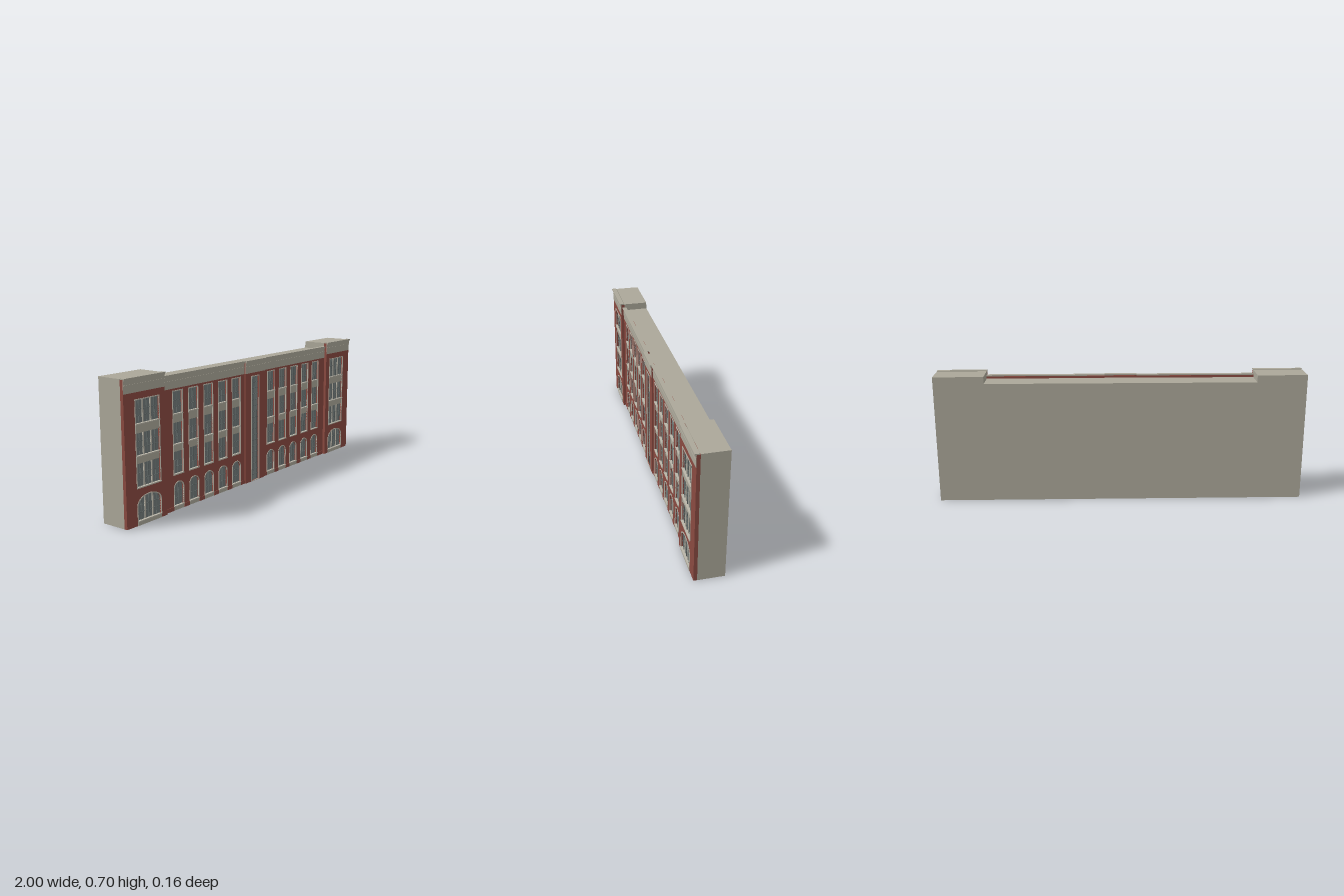
import * as THREE from 'three';

const mat = (name, color, side = THREE.FrontSide) => {
  const m = new THREE.MeshStandardMaterial({ color, side });
  m.name = name;
  return m;
};

export function createModel() {
  const brick = mat('brick', 0x8a4a41);
  const stone = mat('stone', 0xaba799);
  const shell = mat('shell', 0xaba799, THREE.DoubleSide);
  const trim = mat('trim', 0xb9b5a8);
  const glass = mat('glass', 0x727b7a, THREE.DoubleSide);
  const bars = mat('glazingBars', 0x626a69);

  const model = new THREE.Group();
  model.name = 'building';

  const add = (parent, name, geo, material, z = 0) => {
    const mesh = new THREE.Mesh(geo, material);
    mesh.name = name;
    mesh.position.z = z;
    parent.add(mesh);
    return mesh;
  };
  // Box given by its limits
  const box = (parent, name, material, x0, x1, y0, y1, z0, z1) => {
    const m = add(parent, name, new THREE.BoxGeometry(x1 - x0, y1 - y0, z1 - z0), material);
    m.position.set((x0 + x1) / 2, (y0 + y1) / 2, (z0 + z1) / 2);
    return m;
  };
  // Rectangular outline, or one with an elliptical arched head
  const outline = (x0, x1, y0, y1, rise = 0) => {
    const s = new THREE.Shape();
    s.moveTo(x0, y0);
    s.lineTo(x1, y0);
    s.lineTo(x1, y1 - rise);
    if (rise) s.absellipse((x0 + x1) / 2, y1 - rise, (x1 - x0) / 2, rise, 0, Math.PI, false);
    else s.lineTo(x0, y1);
    s.closePath();
    return s;
  };
  const extrude = (shape, depth) =>
    new THREE.ExtrudeGeometry(shape, { depth, bevelEnabled: false, curveSegments: 10 });

  // Glass, frame and glazing bars of one opening
  const fillOpening = (parent, o, zf) => {
    const { x0, x1, y0, y1, rise = 0, lights, rows, wide } = o;
    const t = 0.005;
    add(parent, 'windowGlass', new THREE.ShapeGeometry(outline(x0, x1, y0, y1, rise), 10), glass, zf - 0.008);
    const frame = outline(x0 - t, x1 + t, Math.max(0, y0 - t), y1 + t, rise ? rise + t : 0);
    frame.holes.push(outline(x0, x1, y0, y1, rise));
    add(parent, 'windowFrame', extrude(frame, 0.005), trim, zf - 0.003);
    const w = x1 - x0;
    // Shorten upright bars under an arched head
    const head = x => {
      const u = (x - (x0 + x1) / 2) / (w / 2);
      return rise ? y1 - rise + rise * Math.sqrt(1 - u * u) : y1;
    };
    for (let i = 1; i < lights; i++) {
      const x = x0 + (w * i) / lights;
      const main = wide && i % 2 === 0;
      const h = main ? 0.0035 : 0.001;
      box(parent, 'uprightBar', main ? trim : bars, x - h, x + h, y0, head(x), zf - 0.008, zf - 0.004);
    }
    for (const y of rows) box(parent, 'crossBar', bars, x0, x1, y - 0.001, y + 0.001, zf - 0.008, zf - 0.005);
  };

  // Upper window column with spandrels and sills, and the arched window below
  const windowStack = (parent, cx, halfW, zf, wide) => {
    const x0 = cx - halfW, x1 = cx + halfW;
    const lights = wide ? 6 : 2;
    const rows = [];
    for (const y of [0.185, 0.335, 0.485]) for (const d of [0.035, 0.065]) rows.push(y + d);
    const upper = { x0, x1, y0: 0.183, y1: 0.595, lights, rows, wide };
    const lower = {
      x0, x1, y0: 0.022, y1: 0.14, rise: wide ? 0.045 : 0.03, lights, rows: [0.06, 0.095], wide
    };
    for (const o of [upper, lower]) fillOpening(parent, o, zf);
    for (const [a, b] of [[0.296, 0.333], [0.44, 0.484]])
      box(parent, 'spandrel', stone, x0, x1, a, b, zf - 0.01, zf - 0.002);
    for (const y of [0.183, 0.333, 0.484, 0.021])
      box(parent, 'sill', trim, x0 - 0.004, x1 + 0.004, y - 0.003, y + 0.002, zf - 0.008, zf + 0.005);
    box(parent, 'basePanel', stone, x0 - 0.004, x1 + 0.004, 0, 0.018, zf - 0.001, zf + 0.002);
    return [upper, lower];
  };

  // Brick wall with openings, topped by a stone band and cornice
  const facade = (name, x0, x1, zf, top, bandY, fill) => {
    const g = new THREE.Group();
    g.name = name;
    const wall = outline(x0, x1, 0, top - 0.006);
    for (const o of fill(g)) wall.holes.push(outline(o.x0, o.x1, o.y0, o.y1, o.rise));
    add(g, 'brickWall', extrude(wall, 0.018), brick, zf - 0.018);
    box(g, 'stoneBand', stone, x0, x1, bandY, top - 0.01, zf, zf + 0.002);
    box(g, 'bandMoulding', stone, x0, x1, top - 0.035, top - 0.031, zf, zf + 0.004);
    box(g, 'corniceBed', stone, x0, x1, top - 0.013, top - 0.006, zf, zf + 0.005);
    box(g, 'corniceCap', stone, x0, x1, top - 0.006, top, zf - 0.015, zf + 0.009);
    model.add(g);
  };

  for (const s of [-1, 1]) {
    const span = (a, b) => (s > 0 ? [a, b] : [-b, -a]);
    // End wings
    facade('endWing', ...span(0.73, 1), 0.073, 0.703, 0.632,
      g => windowStack(g, s * 0.849, 0.077, 0.073, true));
    // Long ranges of five bays
    facade('mainRange', ...span(0.0875, 0.73), 0.058, 0.68, 0.61,
      g => [0.16, 0.276, 0.392, 0.509, 0.625].flatMap(x => windowStack(g, s * x, 0.033, 0.058, false)));
    // Plinth strips between the ground-floor arches
    const edges = [0.0875, 0.16, 0.276, 0.392, 0.509, 0.625, 0.73];
    for (let i = 0; i < 6; i++) {
      const a = edges[i] + (i ? 0.038 : 0), b = edges[i + 1] - (i < 5 ? 0.038 : 0);
      box(model, 'plinth', brick, ...span(a, b), 0, 0.02, 0.058, 0.061);
    }
  }

  // Centre bay with its tall stair window
  facade('centreBay', -0.0875, 0.0875, 0.066, 0.68, 0.61, g => {
    const rows = [];
    for (let y = 0.035; y < 0.58; y += 0.0325) rows.push(y);
    const tall = { x0: -0.033, x1: 0.033, y0: 0.004, y1: 0.588, lights: 4, rows };
    fillOpening(g, tall, 0.066);
    return [tall];
  });

  // Plain body behind, open underneath
  const back = -0.082, high = 0.7, low = 0.662;
  const body = new THREE.Group();
  body.name = 'body';
  model.add(body);
  const sil = new THREE.Shape([
    [-1, 0], [1, 0], [1, high], [0.73, high], [0.73, low], [-0.73, low], [-0.73, high], [-1, high]
  ].map(p => new THREE.Vector2(...p)));
  add(body, 'backWall', new THREE.ShapeGeometry(sil), shell, back);
  const sideWall = (name, x, y0, y1, z1) => {
    const m = add(body, name, new THREE.PlaneGeometry(z1 - back, y1 - y0), shell);
    m.rotation.y = Math.PI / 2;
    m.position.set(x, (y0 + y1) / 2, (z1 + back) / 2);
  };
  const roof = (name, x0, x1, y, z1) => {
    const m = add(body, name, new THREE.PlaneGeometry(x1 - x0, z1 - back), shell);
    m.rotation.x = -Math.PI / 2;
    m.position.set((x0 + x1) / 2, y, (z1 + back) / 2);
  };
  for (const s of [-1, 1]) {
    sideWall('endWall', s, 0, high, 0.055);
    sideWall('roofStep', s * 0.73, low, high, 0.055);
    roof('wingRoof', s > 0 ? 0.73 : -1, s > 0 ? 1 : -0.73, high, 0.055);
    roof('mainRoof', s > 0 ? 0.0875 : -0.73, s > 0 ? 0.73 : -0.0875, low, 0.04);
  }
  roof('centreRoof', -0.0875, 0.0875, low, 0.048);

  return model;
}
